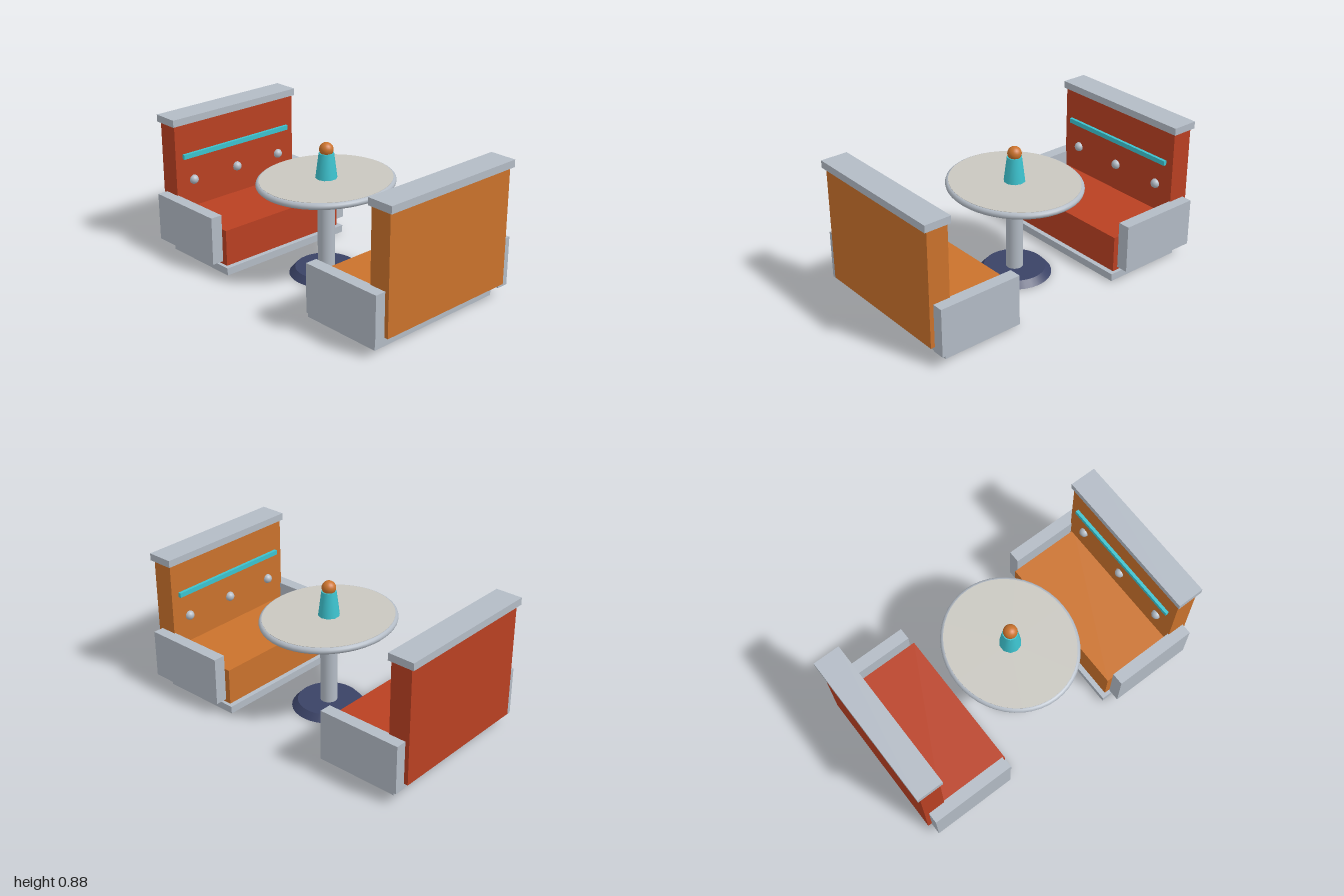
import * as THREE from 'three';

const mat = (name, color) => {
  const m = new THREE.MeshStandardMaterial({ color });
  m.name = name;
  return m;
};

export function createModel() {
  const grey = mat('grey metal', 0xb3bbc5);
  const orange = mat('orange', 0xca722c);
  const red = mat('red', 0xb94022);
  const teal = mat('teal', 0x3cc2ce);
  const cream = mat('cream', 0xc9c7c0);
  const navy = mat('navy', 0x3a4266);

  const add = (parent, name, geometry, material, x = 0, y = 0, z = 0) => {
    const mesh = new THREE.Mesh(geometry, material);
    mesh.name = name;
    mesh.position.set(x, y, z);
    parent.add(mesh);
    return mesh;
  };

  // Box given by its extents in x, y and z
  const addBox = (parent, name, material, [x0, x1], [y0, y1], [z0, z1]) =>
    add(parent, name, new THREE.BoxGeometry(x1 - x0, y1 - y0, z1 - z0), material,
      (x0 + x1) / 2, (y0 + y1) / 2, (z0 + z1) / 2);

  // Bench with its back towards +x
  const makeBench = (name, upholstery) => {
    const bench = new THREE.Group();
    bench.name = name;
    addBox(bench, 'plinth', grey, [0.36, 0.89], [0.005, 0.052], [-0.48, 0.48]);
    addBox(bench, 'seat', upholstery, [0.392, 0.862], [0.052, 0.282], [-0.458, 0.458]);
    addBox(bench, 'backrest', upholstery, [0.845, 0.98], [0.11, 0.832], [-0.475, 0.475]);
    addBox(bench, 'backrestCap', grey, [0.832, 1], [0.832, 0.877], [-0.489, 0.489]);
    addBox(bench, 'trimRail', teal, [0.825, 0.85], [0.61, 0.64], [-0.422, 0.422]);
    addBox(bench, 'frontArm', grey, [0.418, 0.954], [0.077, 0.38], [0.467, 0.543]);
    addBox(bench, 'backArm', grey, [0.418, 0.954], [0.077, 0.38], [-0.543, -0.467]);
    for (const z of [-0.345, 0, 0.345]) {
      add(bench, 'button', new THREE.SphereGeometry(0.03, 16, 12), grey, 0.843, 0.458, z);
    }
    return bench;
  };

  const model = new THREE.Group();
  model.name = 'dinerBooth';
  const redBench = makeBench('redBench', red);
  redBench.rotation.y = Math.PI;
  model.add(makeBench('orangeBench', orange), redBench);

  // Pedestal table with a slightly oval top
  const table = new THREE.Group();
  table.name = 'table';
  model.add(table);
  add(table, 'foot', new THREE.CylinderGeometry(0.19, 0.226, 0.04, 32), navy, 0, 0.02);
  add(table, 'column', new THREE.CylinderGeometry(0.052, 0.052, 0.54, 24), grey, 0, 0.31);
  const top = new THREE.Group();
  top.name = 'tableTop';
  top.scale.z = 1.105;
  table.add(top);
  add(top, 'topPanel', new THREE.CylinderGeometry(0.377, 0.377, 0.042, 48), cream, 0, 0.597);
  const rim = add(top, 'rim', new THREE.TorusGeometry(0.374, 0.021, 12, 48), grey, 0, 0.596);
  rim.rotation.x = Math.PI / 2;

  // Table lamp
  const lamp = new THREE.Group();
  lamp.name = 'tableLamp';
  table.add(lamp);
  add(lamp, 'lampBody', new THREE.CylinderGeometry(0.046, 0.066, 0.155, 10), teal, 0, 0.695);
  add(lamp, 'lampGlobe', new THREE.SphereGeometry(0.043, 20, 14), orange, 0, 0.794);

  return model;
}
